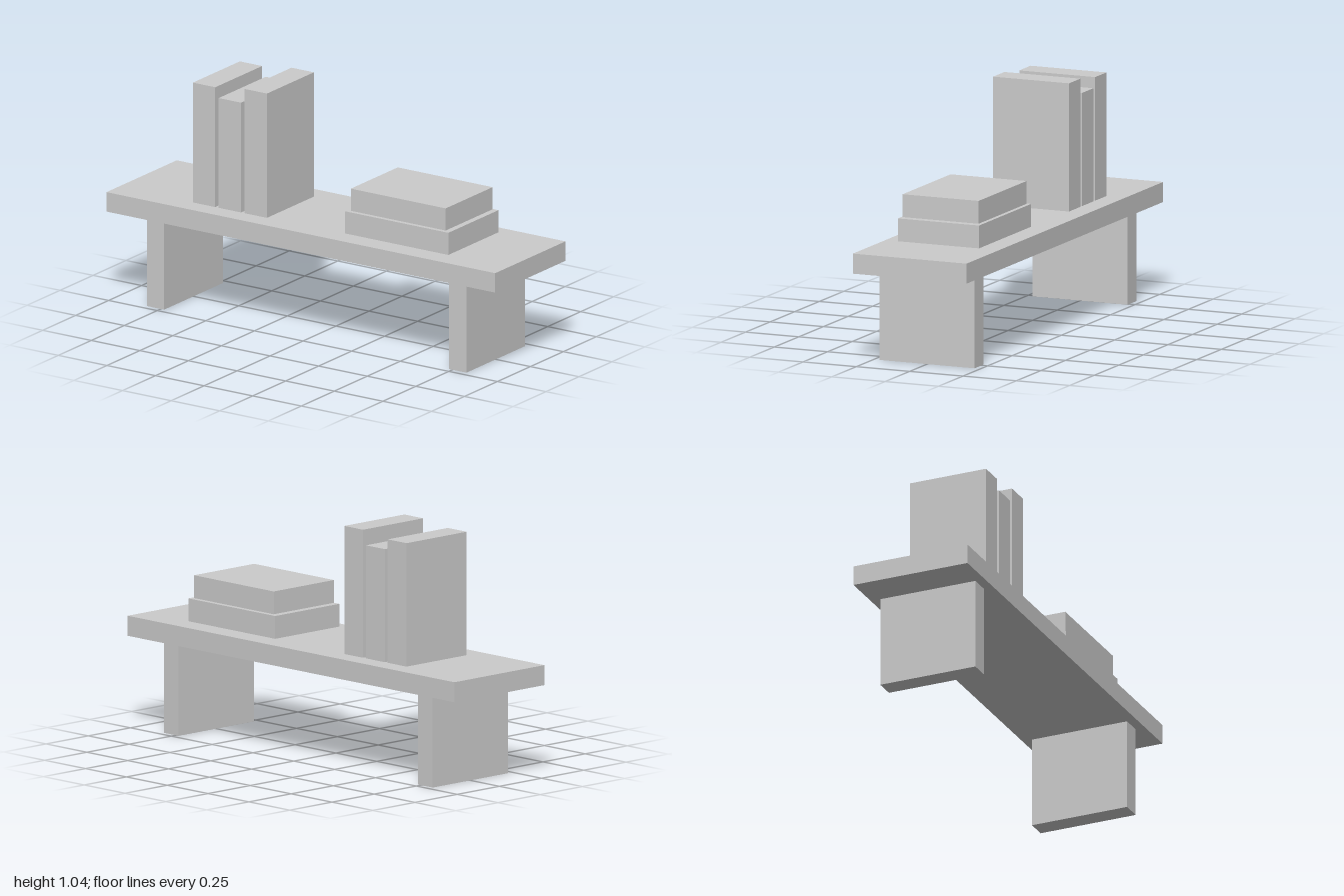
import * as THREE from 'three';

export function createModel() {
  const group = new THREE.Group();
  const material = new THREE.MeshStandardMaterial({ color: 0xcccccc, flatShading: true });

  // Box given by its x range, y range and depth, centred on z = 0
  function addBox(name, x0, x1, y0, y1, depth) {
    const mesh = new THREE.Mesh(new THREE.BoxGeometry(x1 - x0, y1 - y0, depth), material);
    mesh.position.set((x0 + x1) / 2, (y0 + y1) / 2, 0);
    mesh.name = name;
    group.add(mesh);
  }

  // Shelf board on two panel legs
  const shelfBottom = 0.402, shelfTop = 0.489;
  addBox('shelfBoard', -1, 1, shelfBottom, shelfTop, 0.533);
  addBox('leftLeg', 0.733, 0.822, 0, shelfBottom, 0.445);
  addBox('rightLeg', -0.822, -0.733, 0, shelfBottom, 0.445);

  // Upright books: centre x and top height
  [[-0.558, 1.025], [-0.425, 0.98], [-0.292, 1.045]].forEach(([x, top], i) => {
    addBox(`uprightBook${i + 1}`, x - 0.0575, x + 0.0575, shelfTop, top, 0.356);
  });

  // Two books lying flat in a stack
  addBox('lowerFlatBook', 0.176, 0.707, 0.497, 0.596, 0.38);
  addBox('upperFlatBook', 0.197, 0.685, 0.599, 0.698, 0.356);

  return group;
}
